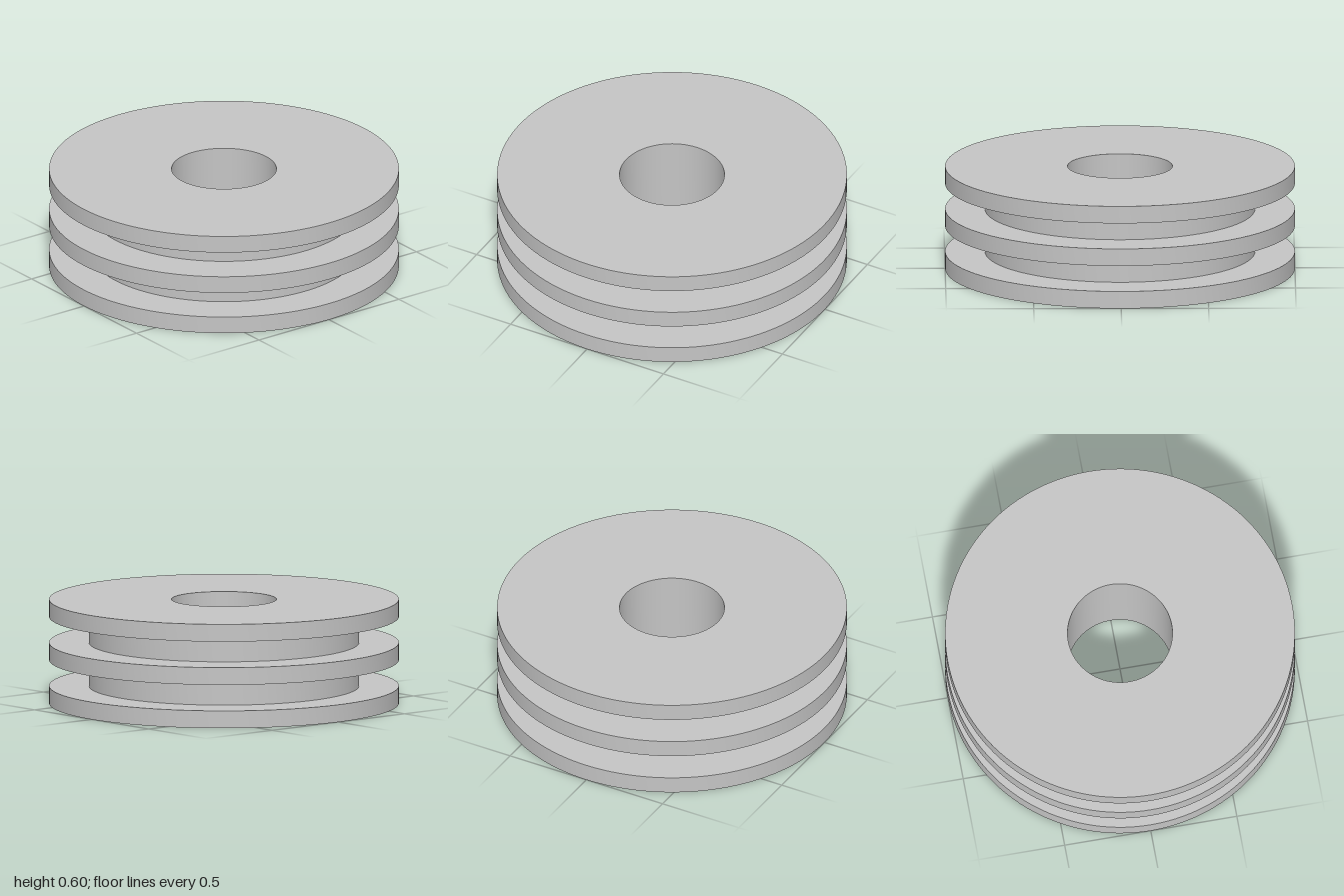
import * as THREE from 'three';
import { toCreasedNormals } from 'three/addons/utils/BufferGeometryUtils.js';

const BORE = 0.3, GROOVE = 0.773, RIM = 1;
const FLANGE_H = 0.1, GROOVE_H = 0.15, FLANGES = 3;

export function createModel() {
  const metal = new THREE.MeshStandardMaterial({ color: 0xc4c4c4 });
  metal.name = 'grey metal';

  // Closed cross-section: up the flanges and grooves outside, back down the bore
  const profile = [new THREE.Vector2(BORE, 0)];
  let y = 0;
  for (let i = 0; i < FLANGES; i++) {
    profile.push(new THREE.Vector2(RIM, y), new THREE.Vector2(RIM, y + FLANGE_H));
    y += FLANGE_H;
    if (i < FLANGES - 1) {
      profile.push(new THREE.Vector2(GROOVE, y), new THREE.Vector2(GROOVE, y + GROOVE_H));
      y += GROOVE_H;
    }
  }
  profile.push(new THREE.Vector2(BORE, y), new THREE.Vector2(BORE, 0));

  // Round walls stay smooth, rim edges stay sharp
  const geometry = toCreasedNormals(new THREE.LatheGeometry(profile, 128), Math.PI / 6);
  const wheel = new THREE.Mesh(geometry, metal);
  wheel.name = 'doubleGroovePulley';

  const group = new THREE.Group();
  group.name = 'pulley';
  group.add(wheel);
  return group;
}
